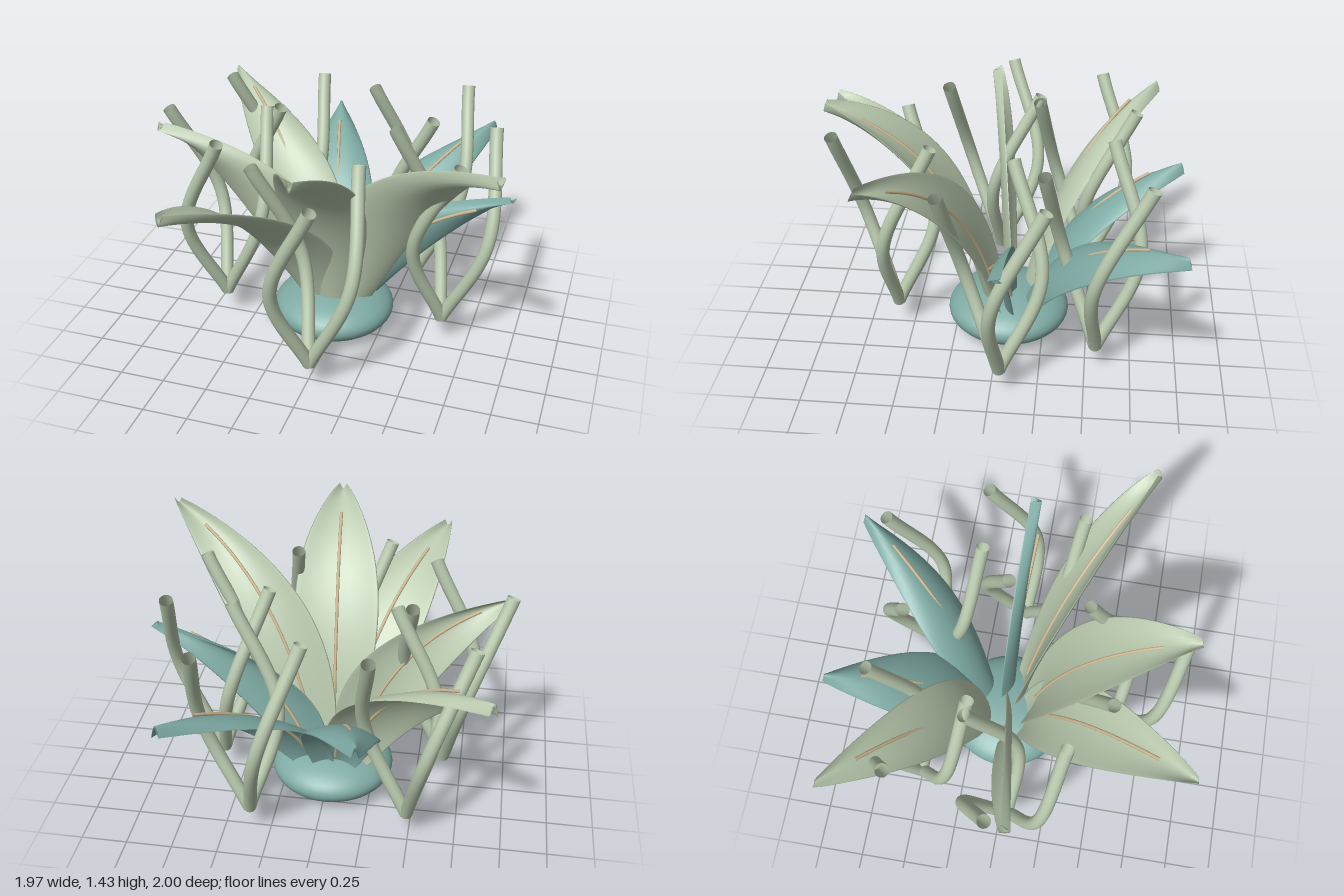
import * as THREE from 'three';

const sage = new THREE.MeshStandardMaterial({ color: 0xb8c8ad, side: THREE.DoubleSide });
sage.name = 'sageGreen';
const teal = new THREE.MeshStandardMaterial({ color: 0x7faba4, side: THREE.DoubleSide });
teal.name = 'dustyTeal';
const tan = new THREE.MeshStandardMaterial({ color: 0xcfba94 });
tan.name = 'ribTan';

const CX = -0.025, CZ = -0.05; // plant axis

function add(group, name, geometry, material) {
  const mesh = new THREE.Mesh(geometry, material);
  mesh.name = name;
  group.add(mesh);
  return mesh;
}

// Arching centre line from the bulb to the tip (dx, dz: tip offset from the axis)
function leafCurve(dx, dz, height) {
  const r = Math.hypot(dx, dz);
  const at = (s, y) => new THREE.Vector3(CX + (dx / r) * s, y, CZ + (dz / r) * s);
  return new THREE.QuadraticBezierCurve3(at(0.13, 0.22), at(0.31 * r, height - 0.2), at(r, height));
}

// Direction in which the blade edges curl: the blade always spreads along x
function leafNormal(curve, t) {
  const d = curve.getTangent(t);
  return new THREE.Vector3(0, d.z, -d.y).normalize();
}

// Thin cupped blade swept from curved lens-shaped cross-sections
function leafGeometry(curve, widthScale) {
  const rows = 28, sides = 24, pos = [], idx = [];
  for (let i = 0; i <= rows; i++) {
    const t = i / rows;
    const bulge = Math.pow(Math.max(0, Math.sin(Math.PI * t)), 0.85);
    const half = widthScale * (0.02 + 0.09 * (1 - t) + 0.17 * bulge);
    const p = curve.getPoint(t), n = leafNormal(curve, t);
    for (let j = 0; j < sides; j++) {
      const a = (j / sides) * Math.PI * 2, u = Math.cos(a);
      const lift = 0.012 * Math.sin(a) + 0.05 * u * u;
      pos.push(p.x + half * u, p.y + n.y * lift, p.z + n.z * lift);
      if (i < rows) {
        const b = i * sides + j, c = i * sides + (j + 1) % sides;
        idx.push(b, c, b + sides, c, c + sides, b + sides);
      }
    }
  }
  // close the tip between the two faces of the blade
  const last = rows * sides;
  for (let j = 0; j < sides / 2; j++) {
    const k = last + j, m = last + (sides - j) % sides;
    const k2 = last + j + 1, m2 = last + sides - j - 1;
    idx.push(k, k2, m, k2, m2, m);
  }
  const g = new THREE.BufferGeometry();
  g.setAttribute('position', new THREE.Float32BufferAttribute(pos, 3));
  g.setIndex(idx);
  g.computeVertexNormals();
  return g;
}

// Slender midrib: on the inner face of front leaves, piercing the back ones midway
function ribGeometry(curve, front) {
  const pts = [];
  for (let i = 0; i <= 12; i++) {
    const t = 0.1 + 0.76 * (i / 12);
    pts.push(curve.getPoint(t).addScaledVector(leafNormal(curve, t), front ? 0.015 : (0.5 - t) * 0.07));
  }
  return new THREE.TubeGeometry(new THREE.CatmullRomCurve3(pts), 24, 0.009, 6);
}

// Three stalks spiralling up from one foot
function addStalks(parent, x, z) {
  const cluster = new THREE.Group();
  cluster.name = 'stalkCluster';
  for (let k = 0; k < 3; k++) {
    const a = (k * Math.PI * 2) / 3;
    const at = (r, deg, y) => {
      const b = a + THREE.MathUtils.degToRad(deg);
      return new THREE.Vector3(x + r * Math.cos(b), y, z + r * Math.sin(b));
    };
    const curve = new THREE.CatmullRomCurve3([at(0, 0, 0.17), at(0.235, 5, 0.7), at(0.31, -51, 1.265)]);
    add(cluster, 'stalk', new THREE.TubeGeometry(curve, 32, 0.036, 14), sage);
  }
  parent.add(cluster);
}

export function createModel() {
  const model = new THREE.Group();
  model.name = 'plant';

  // Flattened bulb
  const bulb = add(model, 'bulb', new THREE.SphereGeometry(1, 40, 24), teal);
  bulb.scale.set(0.342, 0.14, 0.342);
  bulb.position.set(CX, 0.146, CZ);

  // Root nubs under the bulb
  for (let i = 0; i < 8; i++) {
    const a = (i / 8) * Math.PI * 2;
    const root = add(model, 'root', new THREE.CylinderGeometry(0.013, 0.011, 0.04, 8), teal);
    root.position.set(CX + 0.13 * Math.cos(a), 0.02, CZ + 0.13 * Math.sin(a));
  }

  // Leaves: tip offset x, z, tip height, colour, width
  const leaves = [
    [0.97, 0.01, 0.97, teal, 0.87],
    [0.985, 0.64, 1.385, sage, 1],
    [0.085, 0.96, 1.385, sage, 1],
    [-0.535, 1.045, 1.155, sage, 0.97],
    [-0.94, 0.17, 1.19, sage, 0.97],
    [-0.86, -0.8, 1.185, sage, 0.97],
    [-0.245, -0.935, 0.975, teal, 0.87],
    [0.71, -0.925, 0.975, teal, 0.87],
  ];
  for (const [dx, dz, h, material, w] of leaves) {
    const curve = leafCurve(dx, dz, h);
    const leaf = new THREE.Group();
    leaf.name = 'leaf';
    add(leaf, 'blade', leafGeometry(curve, w), material);
    add(leaf, 'midrib', ribGeometry(curve, dz > 0.05), tan);
    model.add(leaf);
  }

  // Stalk clusters around the bulb
  for (const deg of [0, 85, 171, 223, 307]) {
    const a = THREE.MathUtils.degToRad(deg);
    addStalks(model, CX + 0.63 * Math.cos(a), CZ + 0.63 * Math.sin(a));
  }
  return model;
}
